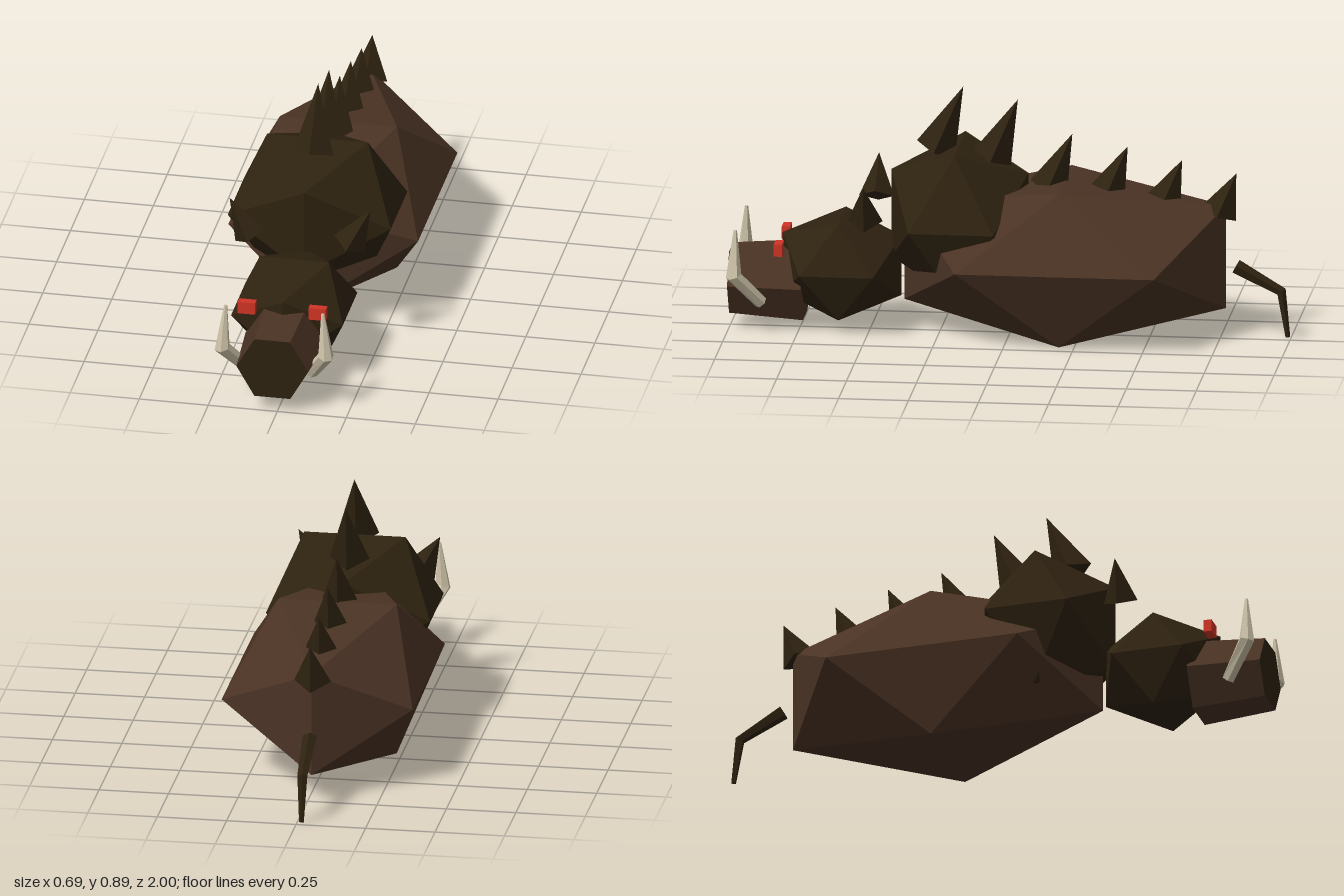
import * as THREE from 'three';

const AXIS = -0.018; // the animal's centre line

const mat = (name, color) => {
  const m = new THREE.MeshStandardMaterial({ color });
  m.name = name;
  return m;
};

// Give every face its own flat normal
function facet(geo) {
  const g = geo.index ? geo.toNonIndexed() : geo;
  g.computeVertexNormals();
  return g;
}

// Twenty-sided lump stretched to radii; adjust() may shift each corner
function lump(rx, ry, rz, adjust) {
  const geo = new THREE.IcosahedronGeometry(1, 0);
  const p = geo.attributes.position;
  const v = new THREE.Vector3();
  for (let i = 0; i < p.count; i++) {
    v.fromBufferAttribute(p, i);
    const unit = v.clone();
    v.set(v.x * rx, v.y * ry, v.z * rz);
    if (adjust) adjust(v, unit);
    p.setXYZ(i, v.x, v.y, v.z);
  }
  return facet(geo);
}

// Tapered bent limb through [x, y, z, radius] points
function taperedLimb(stops, sides) {
  const pts = stops.map(s => new THREE.Vector3(s[0], s[1], s[2]));
  const pos = [], idx = [];
  const last = pts.length - 1;
  pts.forEach((c, k) => {
    const t = pts[Math.min(k + 1, last)].clone().sub(pts[Math.max(k - 1, 0)]).normalize();
    const u = new THREE.Vector3(1, 0, 0).cross(t).normalize();
    const v = t.clone().cross(u);
    for (let i = 0; i < sides; i++) {
      const a = (i / sides) * Math.PI * 2, r = stops[k][3];
      const q = c.clone().addScaledVector(u, r * Math.cos(a)).addScaledVector(v, r * Math.sin(a));
      pos.push(q.x, q.y, q.z);
    }
  });
  for (let i = 0; i < sides; i++) {
    const j = (i + 1) % sides;
    for (let k = 0; k < last; k++) {
      const a = k * sides, b = a + sides;
      idx.push(a + i, a + j, b + j, a + i, b + j, b + i);
    }
    if (i > 0 && i < sides - 1) {
      const e = last * sides;
      idx.push(0, j, i, e, e + i, e + j);
    }
  }
  const geo = new THREE.BufferGeometry();
  geo.setAttribute('position', new THREE.Float32BufferAttribute(pos, 3));
  geo.setIndex(idx);
  return facet(geo);
}

export function createModel() {
  const hide = mat('brown hide', 0x4a3324);
  const bristle = mat('dark bristle', 0x2e2210);
  const ivory = mat('ivory', 0xcfc4aa);
  const red = mat('red eye', 0xd03425);

  const model = new THREE.Group();
  model.name = 'boar';
  const add = (name, geo, material, x = 0, y = 0, z = 0) => {
    const m = new THREE.Mesh(geo, material);
    m.name = name;
    m.position.set(x, y, z);
    model.add(m);
    return m;
  };

  // Body, with the flank corners and the upper ends raised a little
  add('body', lump(0.404, 0.329, 0.676, (v, n) => {
    if (Math.abs(n.y) < 0.1) { v.y += 0.015; v.x += 0.016; }
    else if (Math.abs(n.x) < 0.1 && n.y > 0) v.y += 0.03;
  }), hide, AXIS, 0.285, -0.195);

  // Shoulder hump and head
  add('shoulderHump', lump(0.347, 0.305, 0.288), bristle, AXIS, 0.427, 0.182);
  add('head', lump(0.238, 0.208, 0.25), bristle, AXIS, 0.235, 0.603);

  // Six-sided snout with a dark nose face
  const snoutGeo = facet(new THREE.CylinderGeometry(0.13, 0.15, 0.265, 6, 1, false, Math.PI / 2));
  const snout = add('snout', snoutGeo, [hide, bristle, hide], AXIS, 0.172, 0.8675);
  snout.rotation.x = Math.PI / 2;

  // Ears, eyes and tusks on both sides
  for (const s of [-1, 1]) {
    const side = s > 0 ? 'left' : 'right';
    const ear = add(side + 'Ear', facet(new THREE.ConeGeometry(0.0625, 0.158, 4)), bristle,
      AXIS + s * 0.217, 0.511, 0.5);
    ear.rotation.z = -s * 0.5;

    add(side + 'Eye', new THREE.BoxGeometry(0.063, 0.045, 0.03), red, AXIS + s * 0.128, 0.317, 0.815);

    add(side + 'Tusk', taperedLimb([
      [s * 0.119, 0.115, 0.88, 0.024],
      [s * 0.188, 0.227, 0.97, 0.029],
      [s * 0.176, 0.392, 0.965, 0.006],
    ], 6), ivory, AXIS);
  }

  // Row of back spikes, each [tip height, tip z, length], swept backward
  const lean = 0.4;
  [
    [0.897, 0.17, 0.25], [0.855, -0.025, 0.237], [0.735, -0.22, 0.218],
    [0.695, -0.418, 0.195], [0.65, -0.612, 0.175], [0.606, -0.806, 0.16],
  ].forEach(([y, z, len], i) => {
    const spike = add('backSpike' + (i + 1), facet(new THREE.ConeGeometry(0.074 - i * 0.0015, len, 4)),
      bristle, AXIS, y - Math.cos(lean) * len / 2, z + Math.sin(lean) * len / 2);
    spike.rotation.x = -lean;
  });

  // Bent tail
  add('tail', taperedLimb([
    [0, 0.266, -0.805, 0.027],
    [0, 0.178, -0.967, 0.019],
    [0, 0.012, -0.99, 0.009],
  ], 5), bristle, AXIS);

  return model;
}
